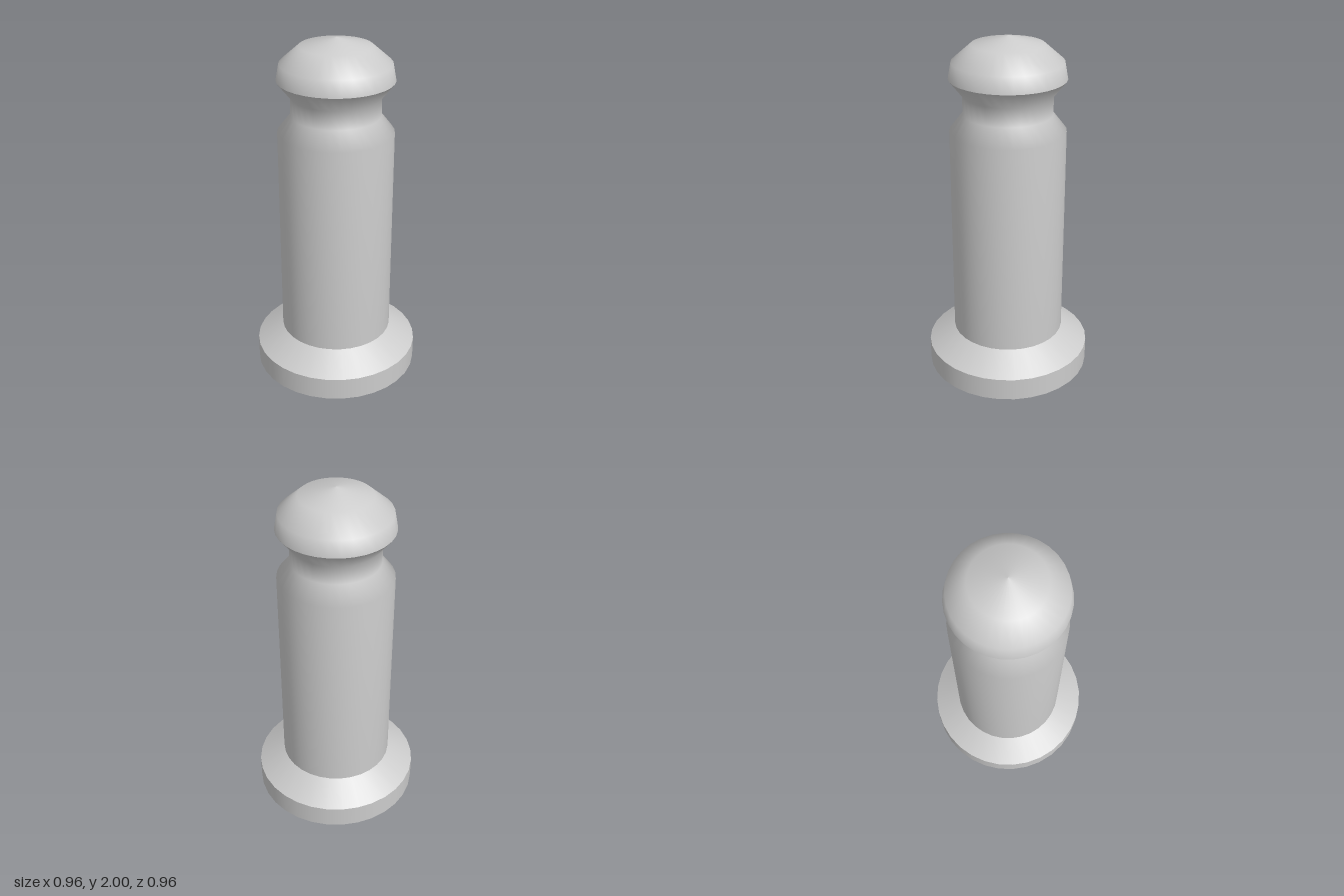
import * as THREE from 'three';

const SIDES = 32;
const material = new THREE.MeshStandardMaterial({ color: 0xcccccc });

// Revolve a bottom-to-top profile of [radius, height]; smooth within one piece
function turned(name, profile) {
  const points = profile.map(([r, y]) => new THREE.Vector2(r, y));
  const mesh = new THREE.Mesh(new THREE.LatheGeometry(points, SIDES), material);
  mesh.name = name;
  return mesh;
}

export function createModel() {
  const group = new THREE.Group();
  group.name = 'bollard';

  group.add(
    // Foot: underside, rim and sloped collar, with sharp edges between them
    turned('baseUnderside', [[0, 0], [0.478, 0]]),
    turned('baseRim', [[0.478, 0], [0.478, 0.133]]),
    turned('baseCollar', [[0.478, 0.133], [0.325, 0.237]]),
    // Column flowing into the pinched neck and out to the cap
    turned('columnAndNeck', [
      [0.325, 0.237], [0.325, 1.475], [0.25, 1.57], [0.25, 1.675], [0.325, 1.77],
    ]),
    // Domed cap
    turned('cap', [[0.325, 1.77], [0.308, 1.86], [0.2, 1.954], [0, 2]]),
  );

  return group;
}
